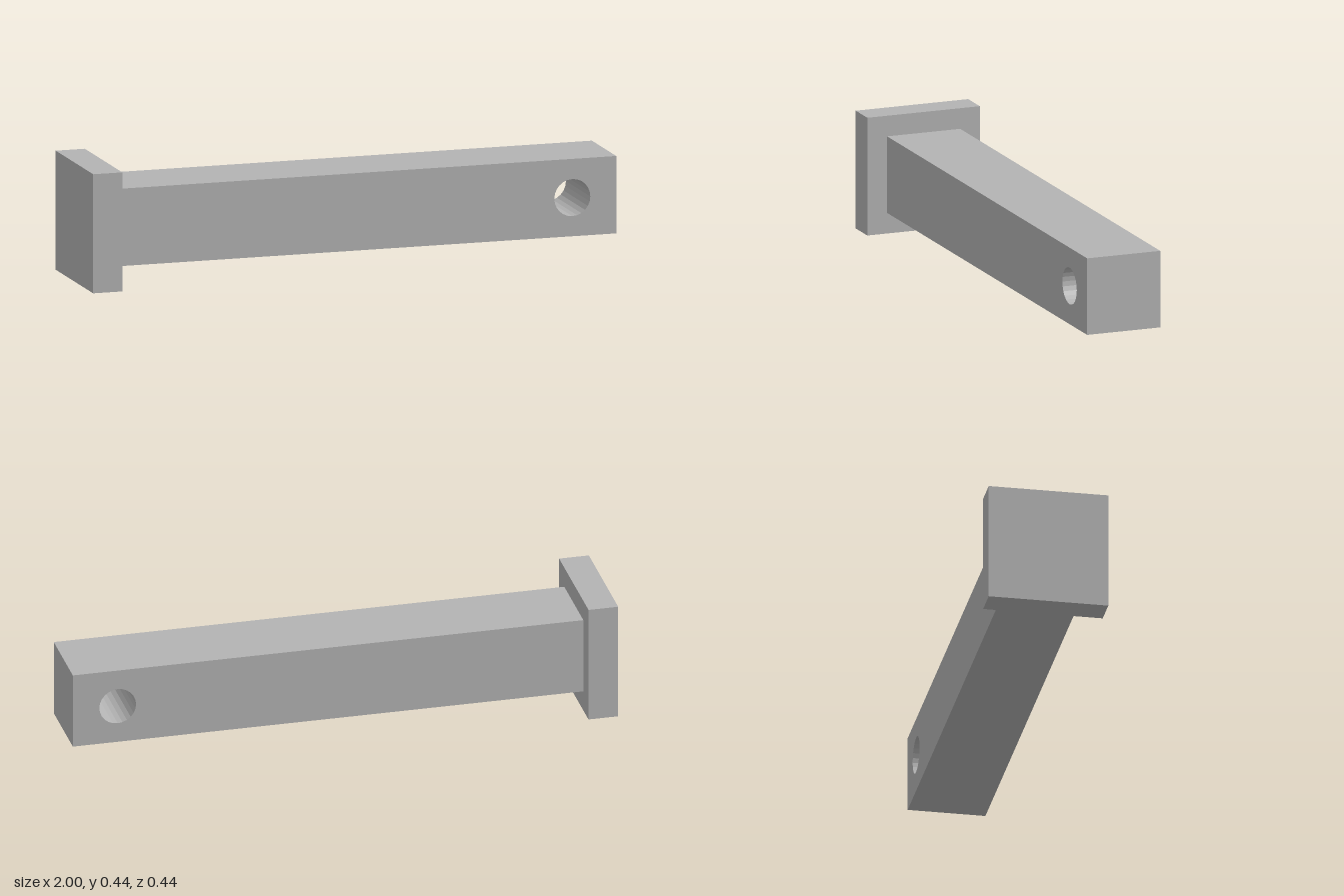
import * as THREE from 'three';

const HEIGHT = 0.437, MID_Y = HEIGHT / 2;
const HEAD_END = -0.89;   // x where the head meets the shaft
const SHAFT = 0.284;      // square shaft width

export function createModel() {
  const group = new THREE.Group();
  const grey = new THREE.MeshStandardMaterial({ color: 0xb3b3b3, flatShading: true });
  grey.name = 'grey';

  // Square head plate
  const head = new THREE.Mesh(new THREE.BoxGeometry(HEAD_END + 1, HEIGHT, HEIGHT), grey);
  head.name = 'head';
  head.position.set((HEAD_END - 1) / 2, MID_Y, 0);
  group.add(head);

  // Square shaft, with a round cross hole near its free end
  const h = SHAFT / 2;
  const outline = new THREE.Shape([
    new THREE.Vector2(HEAD_END, -h),
    new THREE.Vector2(1, -h),
    new THREE.Vector2(1, h),
    new THREE.Vector2(HEAD_END, h),
  ]);
  outline.holes.push(new THREE.Path().absarc(0.834, 0, 0.068, 0, Math.PI * 2, true));
  const shaftGeometry = new THREE.ExtrudeGeometry(outline, {
    depth: SHAFT, bevelEnabled: false, curveSegments: 12,
  });
  shaftGeometry.translate(0, MID_Y, -h);
  const shaft = new THREE.Mesh(shaftGeometry, grey);
  shaft.name = 'shaft';
  group.add(shaft);

  return group;
}
